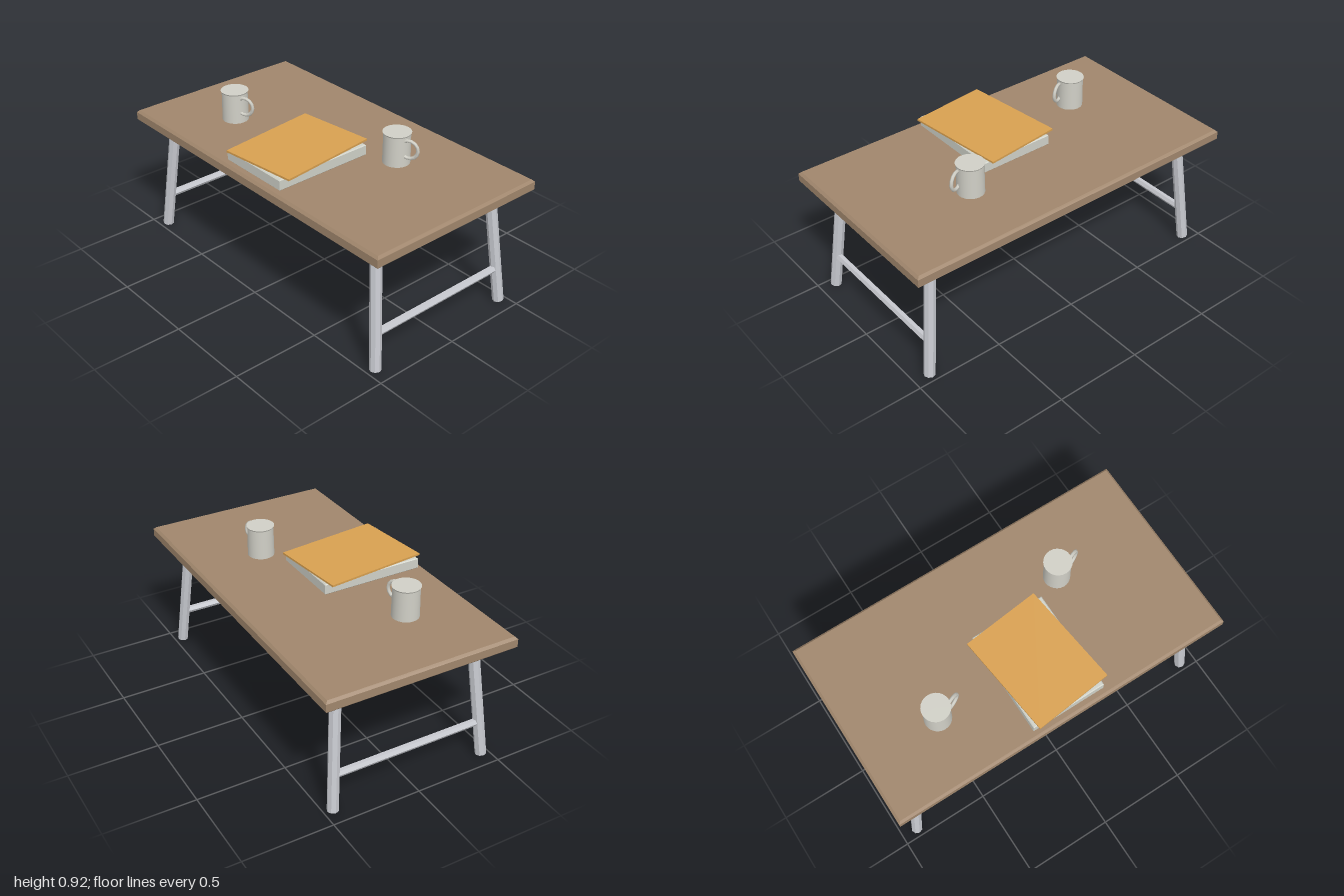
import * as THREE from 'three';

const material = (color, flatShading = true) => new THREE.MeshStandardMaterial({ color, flatShading });
const wood = material(0xa0866c);
const metal = material(0xc6c8ce);
const dark = material(0x47484c);
const paper = material(0xcfd1c8);
const amber = material(0xd8a050);
const ceramic = material(0xd0cfc6, false);

function add(parent, name, geometry, mat) {
  const mesh = new THREE.Mesh(geometry, mat);
  mesh.name = name;
  parent.add(mesh);
  return mesh;
}

// Box with chamfered edges, centred on its origin
function chamferBox(w, h, d, c) {
  const x = w / 2 - c, z = d / 2 - c;
  const shape = new THREE.Shape([[-x, -z], [x, -z], [x, z], [-x, z]].map(p => new THREE.Vector2(...p)));
  return new THREE.ExtrudeGeometry(shape, {
    depth: h - 2 * c, bevelEnabled: true, bevelSize: c, bevelThickness: c, bevelSegments: 1,
  }).translate(0, 0, c - h / 2).rotateX(-Math.PI / 2);
}

// Faceted rod between two points
function rod(parent, name, a, b, radius, sides, turn = 0) {
  const geometry = new THREE.CylinderGeometry(radius, radius, a.distanceTo(b), sides).rotateY(turn);
  const mesh = add(parent, name, geometry, metal);
  mesh.position.copy(a).lerp(b, 0.5);
  mesh.quaternion.setFromUnitVectors(new THREE.Vector3(0, 1, 0), b.clone().sub(a).normalize());
  return mesh;
}

function mug(name, x, z) {
  const group = new THREE.Group();
  group.name = name;
  group.position.set(x, 0.75, z);
  // Closed body with a slim lip
  add(group, 'mugBody', new THREE.CylinderGeometry(0.072, 0.074, 0.17, 24), ceramic).position.y = 0.085;
  add(group, 'mugRim', new THREE.CylinderGeometry(0.077, 0.073, 0.008, 24), ceramic).position.y = 0.17;
  // Ring handle, turned slightly to the back
  const handle = add(group, 'mugHandle', new THREE.TorusGeometry(0.05, 0.01, 6, 14), ceramic);
  handle.position.set(0.088, 0.102, 0);
  handle.rotation.y = 0.42;
  return group;
}

export function createModel() {
  const model = new THREE.Group();
  model.name = 'coffeeTable';

  // Tabletop and the shelf panel below it
  add(model, 'tabletop', chamferBox(2, 0.07, 1.092, 0.013), wood).position.y = 0.715;
  add(model, 'shelf', chamferBox(1.75, 0.034, 0.812, 0.008), dark).position.y = 0.608;

  // Splayed legs, with a low rung joining each end pair
  for (const sx of [1, -1]) {
    const side = sx > 0 ? 'left' : 'right';
    for (const sz of [1, -1]) {
      rod(model, `${side}${sz > 0 ? 'Front' : 'Back'}Leg`,
        new THREE.Vector3(sx * 0.91, 0.004, sz * 0.453),
        new THREE.Vector3(sx * 0.836, 0.66, sz * 0.4), 0.031, 8);
    }
    rod(model, `${side}Rung`,
      new THREE.Vector3(sx * 0.888, 0.206, -0.43),
      new THREE.Vector3(sx * 0.888, 0.206, 0.43), 0.021, 6, Math.PI / 6 * 3);
  }

  // Book with a skewed folder lying on it
  add(model, 'book', chamferBox(0.43, 0.062, 0.582, 0.005), paper).position.set(0.035, 0.782, 0.217);
  const folder = add(model, 'folder', new THREE.BoxGeometry(0.448, 0.011, 0.589), amber);
  folder.position.set(0.0325, 0.82, 0.2125);
  folder.rotation.y = 0.115;

  model.add(mug('rightMug', -0.55, 0.18), mug('leftMug', 0.4, -0.15));
  return model;
}
